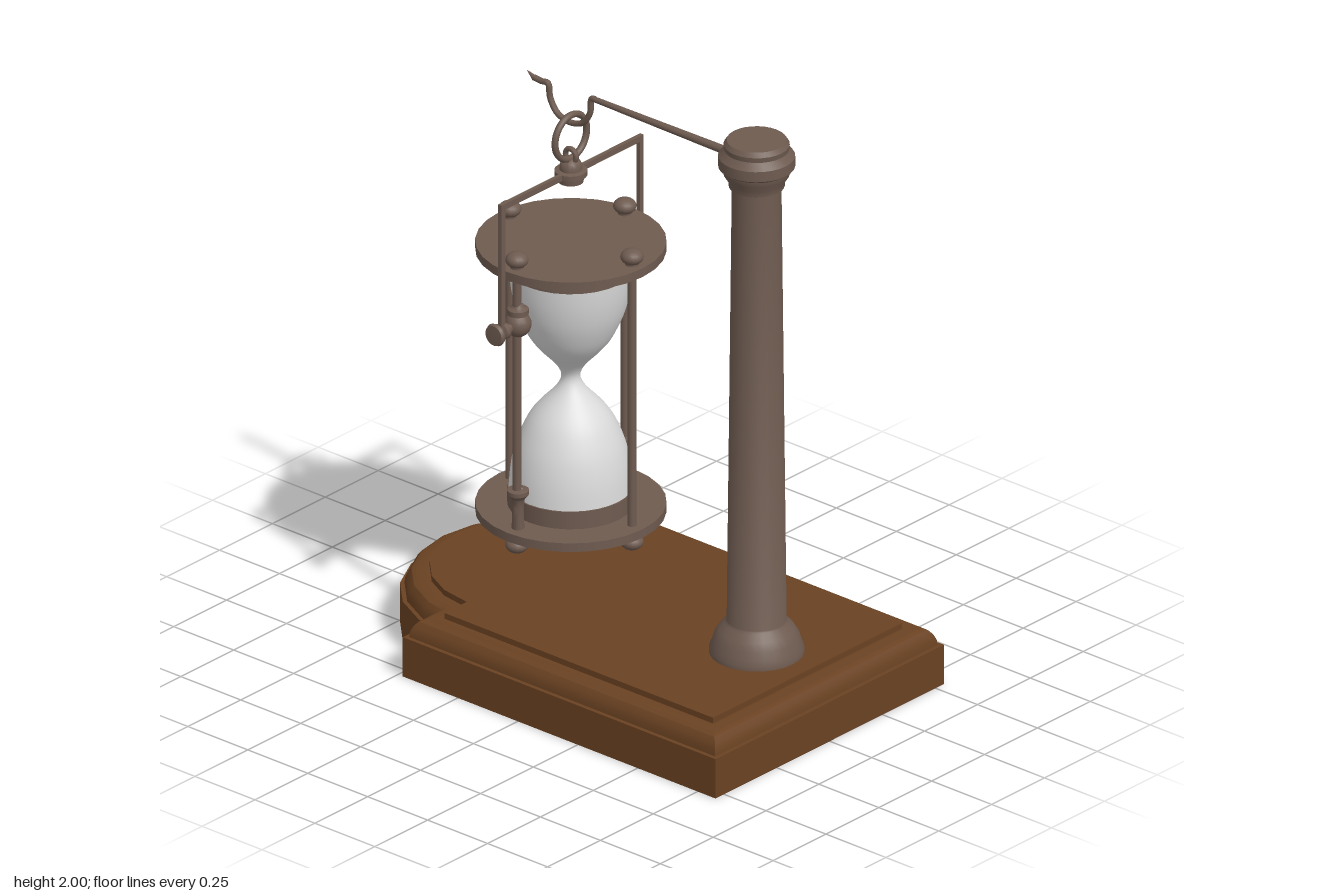
import * as THREE from 'three';
import { toCreasedNormals } from 'three/addons/utils/BufferGeometryUtils.js';

const material = (name, color) => {
  const m = new THREE.MeshStandardMaterial({ color });
  m.name = name;
  return m;
};

export function createModel() {
  const wood = material('brown wood', 0x6a4222);
  const metal = material('dark bronze', 0x6e5b50);
  const glass = material('pale glass', 0xdadada);

  const model = new THREE.Group();
  model.name = 'hangingHourglass';

  const add = (parent, name, geometry, mat, x = 0, y = 0, z = 0) => {
    const mesh = new THREE.Mesh(geometry, mat);
    mesh.name = name;
    mesh.position.set(x, y, z);
    parent.add(mesh);
    return mesh;
  };
  // Turned part from [radius, height] pairs, listed bottom to top
  const turned = (profile, sides = 24, crease = 0.6) => toCreasedNormals(
    new THREE.LatheGeometry(profile.map(([r, y]) => new THREE.Vector2(r, y)), sides), crease);

  // ---- Base: arched outline, inset step by step ----
  const outline = (inset) => {
    const x = 0.54 - inset, front = 0.825 - inset, shoulder = -0.48 + inset;
    const r = 0.435 - inset, cz = -0.39, dz = cz - shoulder;
    const meet = Math.sqrt(r * r - dz * dz);
    const pts = [[-x, front], [x, front], [x, shoulder], [meet, shoulder]];
    for (let i = 1; i < 10; i++) {
      const a = i * Math.PI / 10;
      pts.push([r * Math.cos(a), cz - r * Math.sin(a)]);
    }
    pts.push([-meet, shoulder], [-x, shoulder]);
    return pts;
  };
  const walls = (profile) => {
    const pos = [], index = [];
    const n = outline(0).length;
    profile.forEach(([inset, y]) => outline(inset).forEach(([x, z]) => pos.push(x, y, z)));
    for (let k = 0; k < profile.length - 1; k++) {
      for (let i = 0; i < n; i++) {
        const a = k * n + i, b = k * n + (i + 1) % n;
        index.push(a, b, b + n, a, b + n, a + n);
      }
    }
    const g = new THREE.BufferGeometry();
    g.setAttribute('position', new THREE.Float32BufferAttribute(pos, 3));
    g.setIndex(index);
    return toCreasedNormals(g, 0.5);
  };
  const cap = (inset, up) => {
    const s = new THREE.Shape(outline(inset).map(([x, z]) => new THREE.Vector2(x, up ? -z : z)));
    return new THREE.ShapeGeometry(s).rotateX(up ? -Math.PI / 2 : Math.PI / 2);
  };
  const base = new THREE.Group();
  base.name = 'base';
  model.add(base);
  add(base, 'mouldedBaseEdge', walls([[0, 0], [0, 0.137], [0.014, 0.137], [0.016, 0.155],
    [0.024, 0.175], [0.036, 0.19], [0.053, 0.197], [0.093, 0.197], [0.093, 0.217]]), wood);
  add(base, 'baseTop', cap(0.093, true), wood, 0, 0.217, 0);
  add(base, 'baseUnderside', cap(0, false), metal);

  // ---- Column with bell foot and ringed capital ----
  add(model, 'column', turned([[0.15, 0.217], [0.15, 0.232], [0.142, 0.25], [0.135, 0.275],
    [0.12, 0.3], [0.103, 0.318], [0.097, 0.325], [0.094, 0.33], [0.078, 1.835], [0.088, 1.84],
    [0.09, 1.86], [0.104, 1.882], [0.107, 1.9], [0.121, 1.91], [0.121, 1.945], [0.106, 1.962],
    [0.102, 1.968], [0.104, 1.985], [0.094, 2], [0, 2]], 28), metal, 0, 0, 0.52);

  // ---- Arm and open hook ----
  const arm = new THREE.CylinderGeometry(0.009, 0.014, 0.59, 10).rotateX(-Math.PI / 2);
  add(model, 'arm', arm, metal, 0, 1.919, 0.125);
  const hookPath = new THREE.CatmullRomCurve3([[-0.15, 1.92], [-0.168, 1.918], [-0.175, 1.865],
    [-0.205, 1.822], [-0.258, 1.806], [-0.312, 1.822], [-0.341, 1.865], [-0.35, 1.912],
    [-0.378, 1.911], [-0.41, 1.914]].map(([z, y]) => new THREE.Vector3(0, y, z)));
  add(model, 'hook', new THREE.TubeGeometry(hookPath, 60, 0.01, 8), metal);
  const tip = add(model, 'hookTip', new THREE.ConeGeometry(0.01, 0.04, 8), metal, 0, 1.921, -0.422);
  tip.rotation.x = -1.05;

  // ---- Everything that hangs from the hook ----
  const hanging = new THREE.Group();
  hanging.name = 'hangingAssembly';
  hanging.position.z = -0.255;
  model.add(hanging);

  add(hanging, 'hangingRing', new THREE.TorusGeometry(0.075, 0.011, 8, 32), metal, 0, 1.757, 0);
  add(hanging, 'eyelet', new THREE.TorusGeometry(0.022, 0.009, 8, 20).rotateY(Math.PI / 2),
    metal, 0, 1.692, 0);
  add(hanging, 'swivel', turned([[0, 1.602], [0.04, 1.602], [0.042, 1.622], [0.052, 1.625],
    [0.052, 1.642], [0.036, 1.645], [0.036, 1.66], [0.03, 1.672], [0.015, 1.683], [0, 1.685]], 20), metal);

  // Yoke frame with thumb screws, repeated on both sides
  add(hanging, 'yokeBar', new THREE.BoxGeometry(0.672, 0.02, 0.014), metal, 0, 1.632, 0);
  const screw = turned([[0, 0.25], [0.014, 0.25], [0.014, 0.305], [0.027, 0.31], [0.027, 0.328],
    [0.014, 0.335], [0.016, 0.342], [0.034, 0.348], [0.038, 0.356], [0.034, 0.366], [0, 0.368]], 16)
    .rotateZ(-Math.PI / 2);
  for (const turn of [0, Math.PI]) {
    const side = new THREE.Group();
    side.name = turn ? 'rightYokeSide' : 'leftYokeSide';
    side.rotation.y = turn;
    hanging.add(side);
    add(side, 'yokeUpright', new THREE.BoxGeometry(0.018, 0.45, 0.014), metal, 0.327, 1.417, 0);
    add(side, 'thumbScrew', screw, metal, 0, 1.197, 0);
    add(side, 'pivotBall', new THREE.SphereGeometry(0.043, 16, 12), metal, 0.25, 1.197, 0);
    add(side, 'pivotCollar', turned([[0.02, 1.225], [0.034, 1.232], [0.034, 1.25], [0.022, 1.256],
      [0.014, 1.27]], 16), metal, 0.25, 0, 0);
    add(side, 'postSocket', turned([[0.02, 0.485], [0.018, 0.56], [0.022, 0.588], [0.035, 0.604],
      [0.035, 0.618], [0.014, 0.622]], 16), metal, 0.25, 0, 0);
  }

  // End plates and glass seats
  const plate = new THREE.CylinderGeometry(0.3, 0.3, 0.03, 28);
  const seat = new THREE.CylinderGeometry(0.2, 0.2, 0.06, 28);
  add(hanging, 'topPlate', plate, metal, 0, 1.38, 0);
  add(hanging, 'bottomPlate', plate, metal, 0, 0.47, 0);
  add(hanging, 'topGlassSeat', seat, metal, 0, 1.335, 0);
  add(hanging, 'bottomGlassSeat', seat, metal, 0, 0.515, 0);

  // Four posts with ball finials at both ends
  const post = new THREE.CylinderGeometry(0.014, 0.014, 0.9, 12);
  const finial = new THREE.SphereGeometry(0.037, 16, 12).scale(1, 0.7, 1);
  const neck = new THREE.CylinderGeometry(0.022, 0.022, 0.03, 12);
  for (let i = 0; i < 4; i++) {
    const a = i * Math.PI / 2, x = 0.255 * Math.cos(a), z = 0.255 * Math.sin(a);
    add(hanging, 'post', post, metal, x, 0.925, z);
    for (const s of [-1, 1]) {
      add(hanging, 'finialNeck', neck, metal, x, 0.925 + s * 0.477, z);
      add(hanging, 'finial', finial, metal, x, 0.925 + s * 0.497, z);
    }
  }

  // Two glass bulbs, mirrored about the narrow waist
  const half = [[0.03, 0], [0.037, 0.025], [0.058, 0.055], [0.1, 0.1], [0.13, 0.14],
    [0.153, 0.185], [0.172, 0.235], [0.185, 0.29], [0.192, 0.34], [0.196, 0.39]];
  const bulbs = [...half.slice(1).reverse().map(([r, y]) => [r, -y]), ...half];
  const curve = new THREE.SplineCurve(bulbs.map(([r, y]) => new THREE.Vector2(r, y)));
  add(hanging, 'glassBulbs', new THREE.LatheGeometry(curve.getPoints(48), 32), glass, 0, 0.927, 0);

  return model;
}
